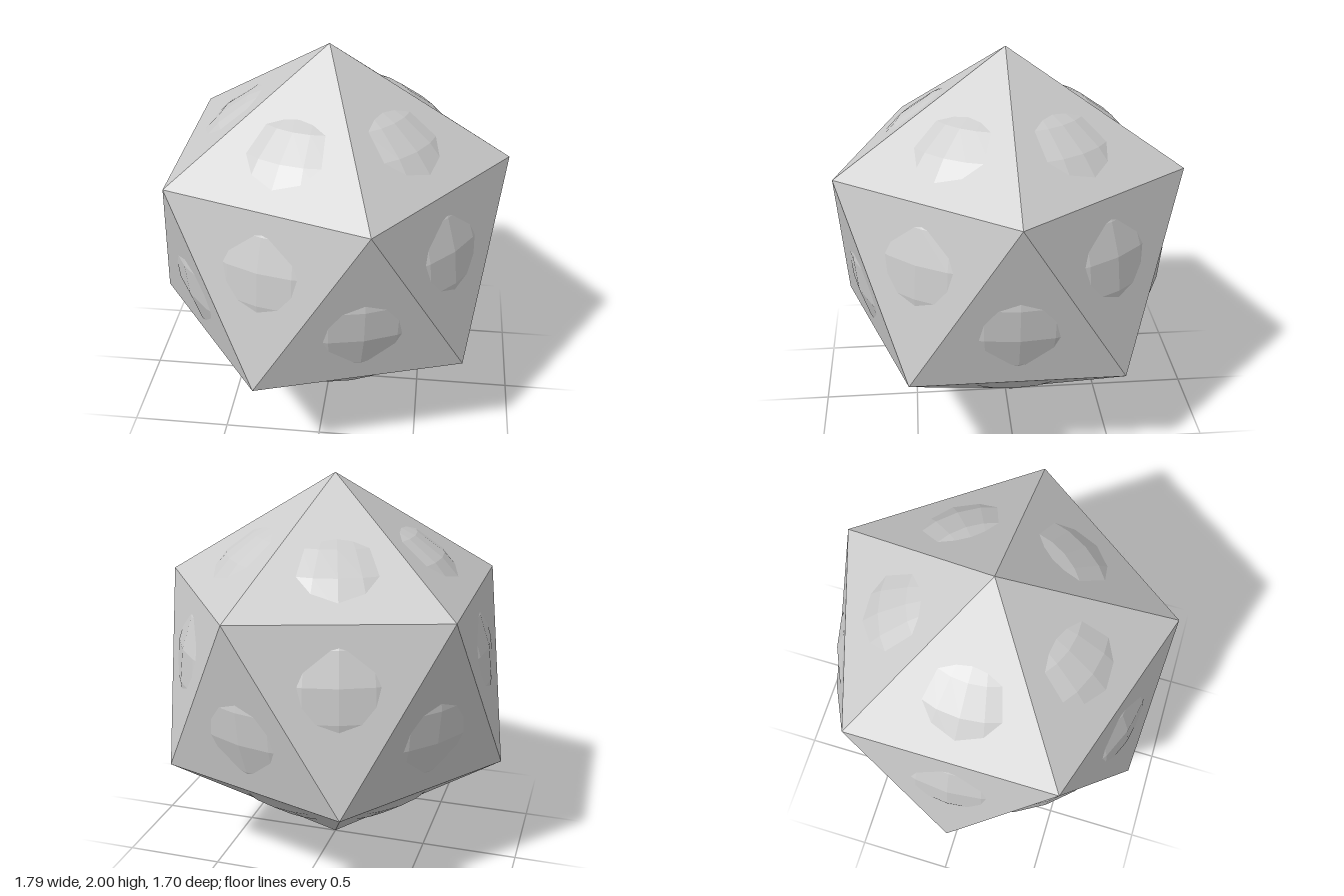
import * as THREE from 'three';
import { ConvexGeometry } from 'three/addons/geometries/ConvexGeometry.js';

const material = new THREE.MeshStandardMaterial({ color: 0xcccccc, flatShading: true });

// Regular icosahedron of circumradius 1 standing on a corner
function icosahedron() {
  const y = 1 / Math.sqrt(5), r = 2 * y;
  const points = [new THREE.Vector3(0, 1, 0), new THREE.Vector3(0, -1, 0)];
  for (let i = 0; i < 10; i++) {
    const a = (i * Math.PI) / 5;
    points.push(new THREE.Vector3(r * Math.cos(a), i % 2 ? -y : y, r * Math.sin(a)));
  }
  return new ConvexGeometry(points);
}

// Faceted ball: half-step rings with small flat discs at both poles
function facetedBall(radius, rings, segments) {
  const profile = [];
  for (let i = 0; i < rings; i++) {
    const a = (Math.PI * (i + 0.5)) / rings;
    profile.push(new THREE.Vector2(radius * Math.sin(a), -radius * Math.cos(a)));
  }
  profile.unshift(new THREE.Vector2(0, profile[0].y));
  profile.push(new THREE.Vector2(0, profile[rings].y));
  return new THREE.LatheGeometry(profile, segments, Math.PI / 2);
}

export function createModel() {
  const group = new THREE.Group();
  group.name = 'icosahedronWithBall';
  const add = (name, geometry) => {
    const mesh = new THREE.Mesh(geometry, material);
    mesh.name = name;
    mesh.position.y = 1;
    group.add(mesh);
  };
  add('icosahedron', icosahedron());
  // The ball bulges slightly through the middle of every face
  add('innerBall', facetedBall(0.82, 15, 30));
  return group;
}
